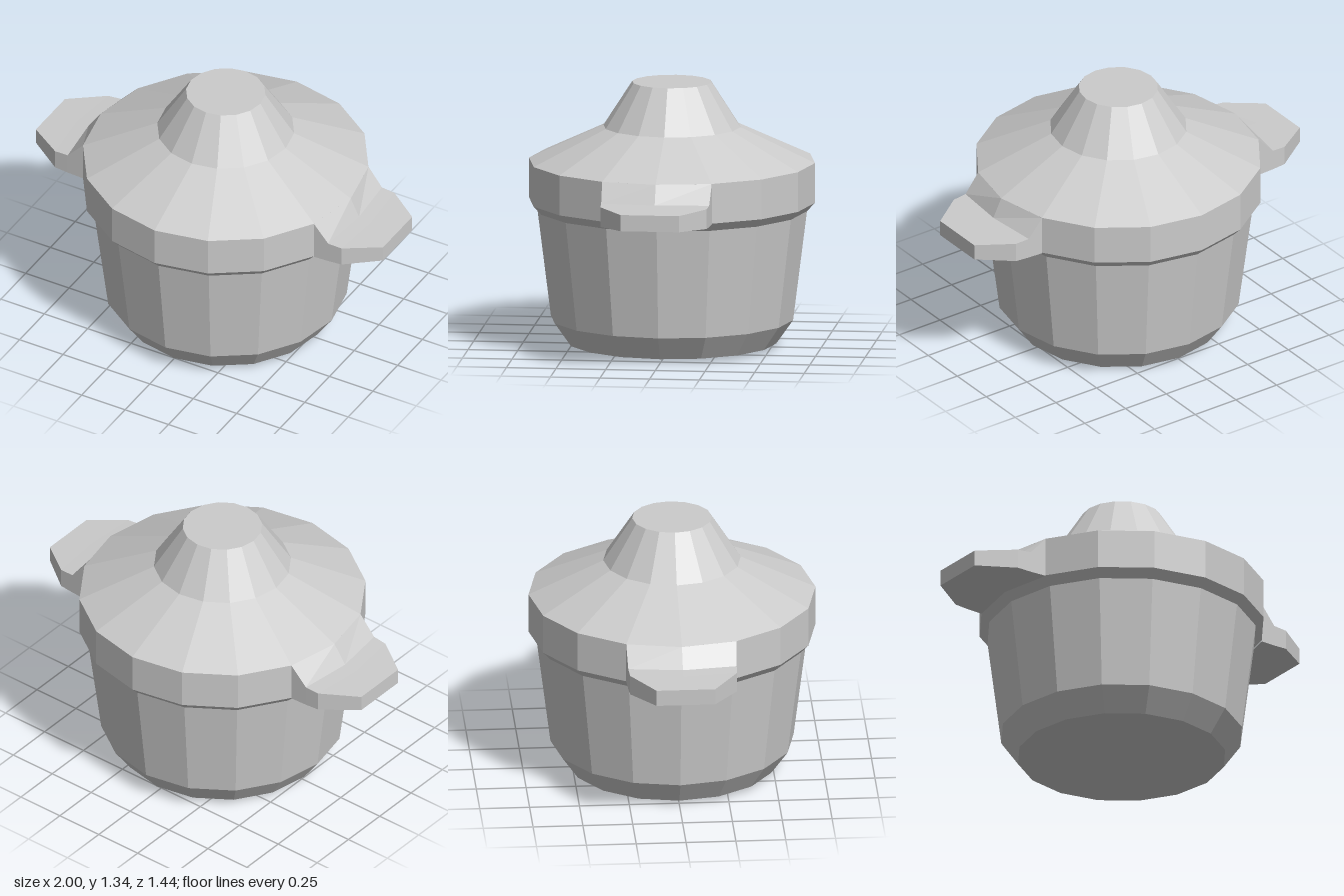
import * as THREE from 'three';

const SIDES = 16;
const material = new THREE.MeshStandardMaterial({ color: 0xcccccc, flatShading: true });

// Faceted solid of revolution from [radius, height] pairs
function turned(name, profile) {
  const points = profile.map(([r, y]) => new THREE.Vector2(r, y));
  const mesh = new THREE.Mesh(new THREE.LatheGeometry(points, SIDES), material);
  mesh.name = name;
  mesh.position.x = 0.01;
  return mesh;
}

// Handle lofted outwards along +x; each section is
// { edge x, middle x, half width, top, bottom }
function handle(name, sections) {
  const positions = [];
  const index = [];
  const quad = (a, b, c, d) => index.push(a, b, c, a, c, d);
  for (const { edge, mid, half, top, bottom } of sections) {
    positions.push(
      edge, top, -half, mid, top, 0, edge, top, half,
      edge, bottom, half, mid, bottom, 0, edge, bottom, -half
    );
  }
  for (let s = 0; s < sections.length - 1; s++) {
    for (let i = 0; i < 6; i++) {
      const j = (i + 1) % 6;
      quad(s * 6 + i, s * 6 + j, s * 6 + 6 + j, s * 6 + 6 + i);
    }
  }
  // Flat outer end
  const e = (sections.length - 1) * 6;
  quad(e, e + 1, e + 4, e + 5);
  quad(e + 1, e + 2, e + 3, e + 4);

  const geometry = new THREE.BufferGeometry();
  geometry.setAttribute('position', new THREE.Float32BufferAttribute(positions, 3));
  geometry.setIndex(index);
  geometry.computeVertexNormals();
  const mesh = new THREE.Mesh(geometry, material);
  mesh.name = name;
  return mesh;
}

export function createModel() {
  const group = new THREE.Group();
  group.name = 'cookingPot';

  // Tapered bowl with a chamfered foot and shallow domed base
  group.add(turned('potBody', [[0, 0], [0.525, 0.02], [0.61, 0.14], [0.68, 0.695], [0.72, 0.738]]));
  // Upright band around the rim
  group.add(turned('rim', [[0.72, 0.738], [0.72, 0.94]]));
  // Sloping lid rising to a flat-topped knob
  group.add(turned('lid', [[0.72, 0.94], [0.345, 1.115]]));
  group.add(turned('lidKnob', [[0.345, 1.115], [0.2, 1.34], [0, 1.34]]));

  // Side handles growing out of the two rim facets on each side
  for (const side of [1, -1]) {
    const shift = side * 0.01;
    const grip = handle(side > 0 ? 'leftHandle' : 'rightHandle', [
      { edge: 0.665 + shift, mid: 0.72 + shift, half: 0.276, top: 0.94, bottom: 0.735 },
      { edge: 0.75 + shift / 2, mid: 0.778, half: 0.272, top: 0.843, bottom: 0.735 },
      { edge: 0.825 + shift / 2, mid: 0.85, half: 0.268, top: 0.838, bottom: 0.738 },
      { edge: 1, mid: 1, half: 0.147, top: 0.83, bottom: 0.748 }
    ]);
    if (side < 0) grip.rotation.y = Math.PI;
    group.add(grip);
  }
  return group;
}
